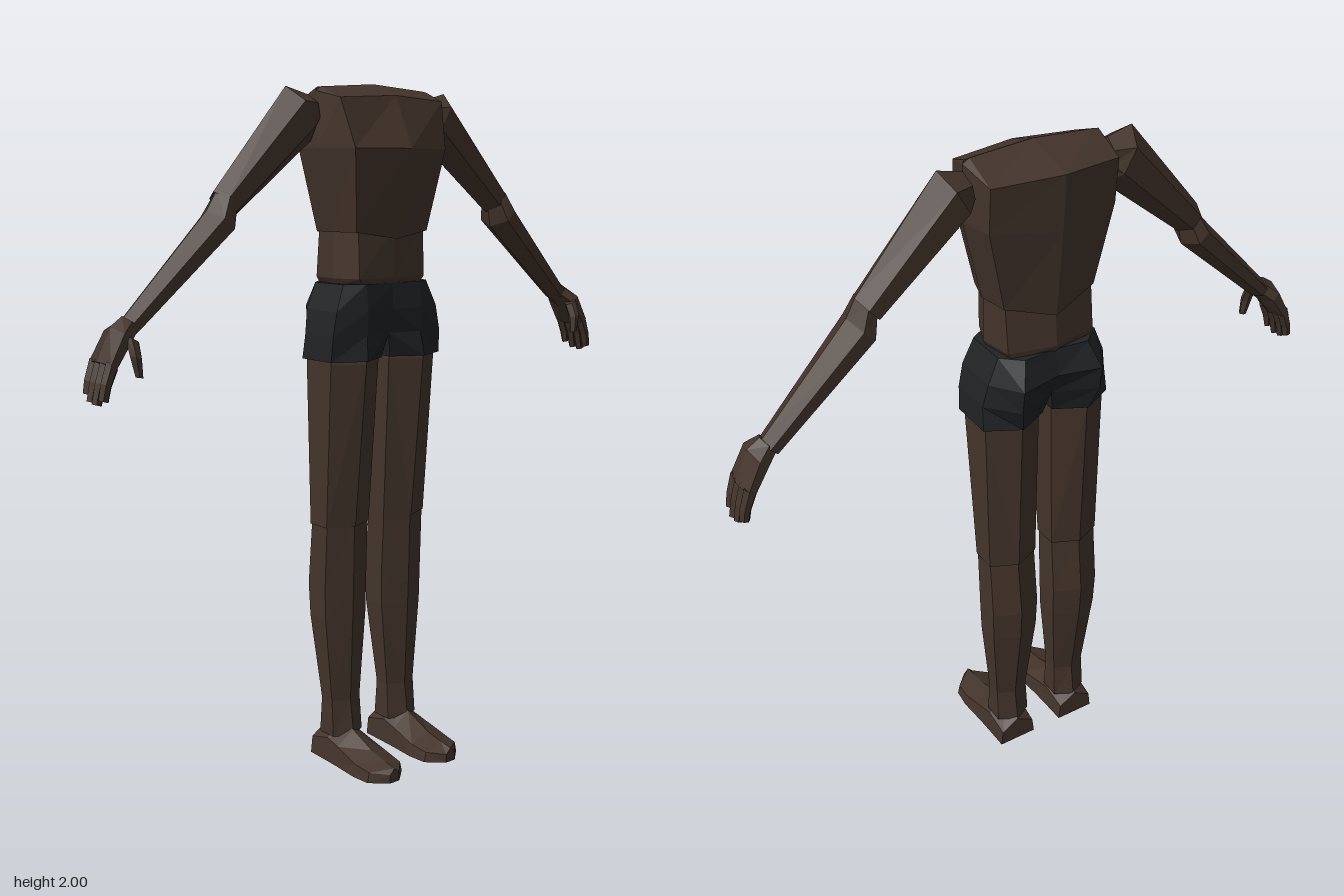
import * as THREE from 'three';

const skin = new THREE.MeshStandardMaterial({ color: 0x43342b, flatShading: true });
skin.name = 'darkBrownSkin';
const cloth = new THREE.MeshStandardMaterial({ color: 0x202224, flatShading: true });
cloth.name = 'blackCloth';

// Skin a closed, faceted solid over rings of [x, y, z] points; winding is fixed by signed volume.
function loft(name, rings, material = skin) {
  const n = rings[0].length, tris = [];
  for (let r = 0; r < rings.length - 1; r++) {
    for (let i = 0; i < n; i++) {
      const j = (i + 1) % n, a = rings[r], b = rings[r + 1];
      tris.push([a[i], a[j], b[j]], [a[i], b[j], b[i]]);
    }
  }
  const cap = (ring, flip) => {
    const c = [0, 1, 2].map(k => ring.reduce((s, p) => s + p[k], 0) / n);
    ring.forEach((p, i) => {
      const q = ring[(i + 1) % n];
      tris.push(flip ? [c, q, p] : [c, p, q]);
    });
  };
  cap(rings[0], true);
  cap(rings[rings.length - 1], false);
  const v = tris.map(t => t.map(p => new THREE.Vector3(...p)));
  const o = v[0][0].clone();
  let volume = 0;
  for (const [a, b, c] of v) {
    volume += a.clone().sub(o).dot(b.clone().sub(o).cross(c.clone().sub(o)));
  }
  const points = v.flatMap(([a, b, c]) => (volume < 0 ? [a, c, b] : [a, b, c]));
  const geometry = new THREE.BufferGeometry().setFromPoints(points);
  geometry.computeVertexNormals();
  const mesh = new THREE.Mesh(geometry, material);
  mesh.name = name;
  return mesh;
}

// Full ring from the left half: first and last points lie on the centre plane.
const mirrored = half => [...half, ...half.slice(1, -1).reverse().map(([x, y, z]) => [-x, y, z])];

// Hexagon around a leg, with a front and a back ridge.
function legRing(s, y, cx, hw, front, back) {
  const q = (front - back) * 0.24;
  return [[0, front], [hw, front - q], [hw, back + q], [0, back], [-hw, back + q], [-hw, front - q]]
    .map(([x, z]) => [s * (cx + x), y, z]);
}

// Hexagon across an arm between an upper and a lower point, h deep to each side of z.
function armRing(s, [ux, uy], [lx, ly], z, h) {
  return [[0, 0], [0.28, h], [0.72, h], [1, 0], [0.72, -h], [0.28, -h]]
    .map(([t, d]) => [s * (ux + (lx - ux) * t), uy + (ly - uy) * t, z + d]);
}

function makeLeg(s) {
  const leg = new THREE.Group();
  leg.name = s > 0 ? 'leftLeg' : 'rightLeg';
  leg.add(loft('thigh', [
    legRing(s, 1.27, 0.107, 0.086, 0.055, -0.15),
    legRing(s, 1.22, 0.107, 0.087, 0.064, -0.155),
    legRing(s, 0.735, 0.108, 0.079, 0.012, -0.137)]));
  leg.add(loft('shin', [
    legRing(s, 0.75, 0.108, 0.076, 0.008, -0.13),
    legRing(s, 0.55, 0.108, 0.078, 0.002, -0.152),
    legRing(s, 0.45, 0.108, 0.076, -0.002, -0.145),
    legRing(s, 0.19, 0.108, 0.053, -0.015, -0.11),
    legRing(s, 0.08, 0.108, 0.055, 0.0, -0.125)]));
  // Foot sections from heel to toe: z, half width, ridge height
  const foot = [[-0.13, 0.062, 0.085], [-0.05, 0.064, 0.12], [0, 0.066, 0.1],
    [0.09, 0.072, 0.062], [0.15, 0.066, 0.05], [0.195, 0.018, 0.043]];
  leg.add(loft('foot', foot.map(([z, w, h]) =>
    [[-w, 0], [w, 0], [w * 0.9, h * 0.6], [0, h], [-w * 0.9, h * 0.6]]
      .map(([x, y]) => [s * (0.111 + x), y, z]))));
  return leg;
}

function makeArm(s) {
  const arm = new THREE.Group();
  arm.name = s > 0 ? 'leftArm' : 'rightArm';
  arm.add(loft('upperArm', [
    armRing(s, [0.215, 1.965], [0.2, 1.88], -0.055, 0.04),
    armRing(s, [0.29, 1.985], [0.207, 1.84], -0.057, 0.06),
    armRing(s, [0.53, 1.705], [0.47, 1.635], -0.055, 0.047)]));
  arm.add(loft('forearm', [
    armRing(s, [0.522, 1.71], [0.475, 1.645], -0.05, 0.043),
    armRing(s, [0.555, 1.655], [0.487, 1.59], -0.052, 0.06),
    armRing(s, [0.815, 1.385], [0.775, 1.345], -0.055, 0.036)]));

  const hand = new THREE.Group();
  hand.name = 'hand';
  hand.add(loft('palm', [
    armRing(s, [0.815, 1.395], [0.775, 1.35], -0.052, 0.032),
    armRing(s, [0.852, 1.37], [0.808, 1.32], -0.05, 0.054),
    armRing(s, [0.893, 1.285], [0.855, 1.262], -0.052, 0.058)]));
  const drops = [0.012, 0, 0.004, 0.02];
  drops.forEach((d, i) => {
    const z = -0.008 - i * 0.029;
    hand.add(loft('finger' + (i + 1), [
      armRing(s, [0.888, 1.29], [0.856, 1.265], z, 0.014),
      armRing(s, [0.906, 1.235], [0.876, 1.222], z, 0.0135),
      armRing(s, [0.918 - d / 3, 1.18 + d], [0.89 - d / 3, 1.172 + d], z, 0.011)]));
  });
  hand.add(loft('thumb', [
    armRing(s, [0.835, 1.35], [0.795, 1.33], -0.005, 0.016),
    armRing(s, [0.832, 1.3], [0.798, 1.29], 0.012, 0.016),
    armRing(s, [0.82, 1.245], [0.798, 1.242], 0.016, 0.011)]));
  arm.add(hand);
  return arm;
}

// One half of the shorts, closed on the centre plane, from waistband to hem.
function makeShorts(s) {
  const sections = [
    [1.445, [[0, 0.05], [0.1, 0.055], [0.155, 0.02], [0.155, -0.11], [0.1, -0.16], [0, -0.15]]],
    [1.37, [[0, 0.055], [0.1, 0.064], [0.186, 0.03], [0.186, -0.11], [0.125, -0.197], [0, -0.168]]],
    [1.3, [[0, 0.035], [0.1, 0.06], [0.2, 0.03], [0.2, -0.1], [0.125, -0.187], [0, -0.135]]],
    [1.228, [[0.016, 0.02], [0.107, 0.07], [0.204, 0.025], [0.204, -0.11], [0.107, -0.162], [0.016, -0.115]]]];
  return loft(s > 0 ? 'leftShorts' : 'rightShorts',
    sections.map(([y, ring]) => ring.map(([x, z]) => [s * x, y, z])), cloth);
}

export function createModel() {
  const body = new THREE.Group();
  body.name = 'body';

  // Rib cage, from its lower edge up to the shoulder ridge
  body.add(loft('chest', [
    [[0, 1.57, 0.07], [0.13, 1.59, 0.05], [0.155, 1.59, -0.03], [0.14, 1.59, -0.12], [0, 1.55, -0.155]],
    [[0, 1.82, 0.132], [0.165, 1.82, 0.09], [0.207, 1.82, -0.03], [0.19, 1.82, -0.135], [0, 1.8, -0.18]],
    [[0, 1.965, 0.065], [0.185, 1.955, 0.05], [0.205, 1.975, -0.035], [0.19, 1.945, -0.145], [0, 1.957, -0.19]],
    [[0, 2, -0.035], [0.185, 1.987, -0.035], [0.2, 1.985, -0.035], [0.185, 1.987, -0.036], [0, 2, -0.036]],
  ].map(mirrored)));

  // Waist
  body.add(loft('waist', [
    [[0, 1.435, 0.045], [0.1, 1.435, 0.045], [0.14, 1.435, -0.03], [0.12, 1.435, -0.13], [0, 1.435, -0.15]],
    [[0, 1.46, 0.058], [0.12, 1.46, 0.05], [0.153, 1.46, -0.03], [0.135, 1.46, -0.13], [0, 1.46, -0.16]],
    [[0, 1.6, 0.06], [0.12, 1.6, 0.045], [0.15, 1.6, -0.03], [0.135, 1.6, -0.115], [0, 1.6, -0.145]],
  ].map(mirrored)));

  for (const s of [1, -1]) body.add(makeShorts(s), makeLeg(s), makeArm(s));
  return body;
}
